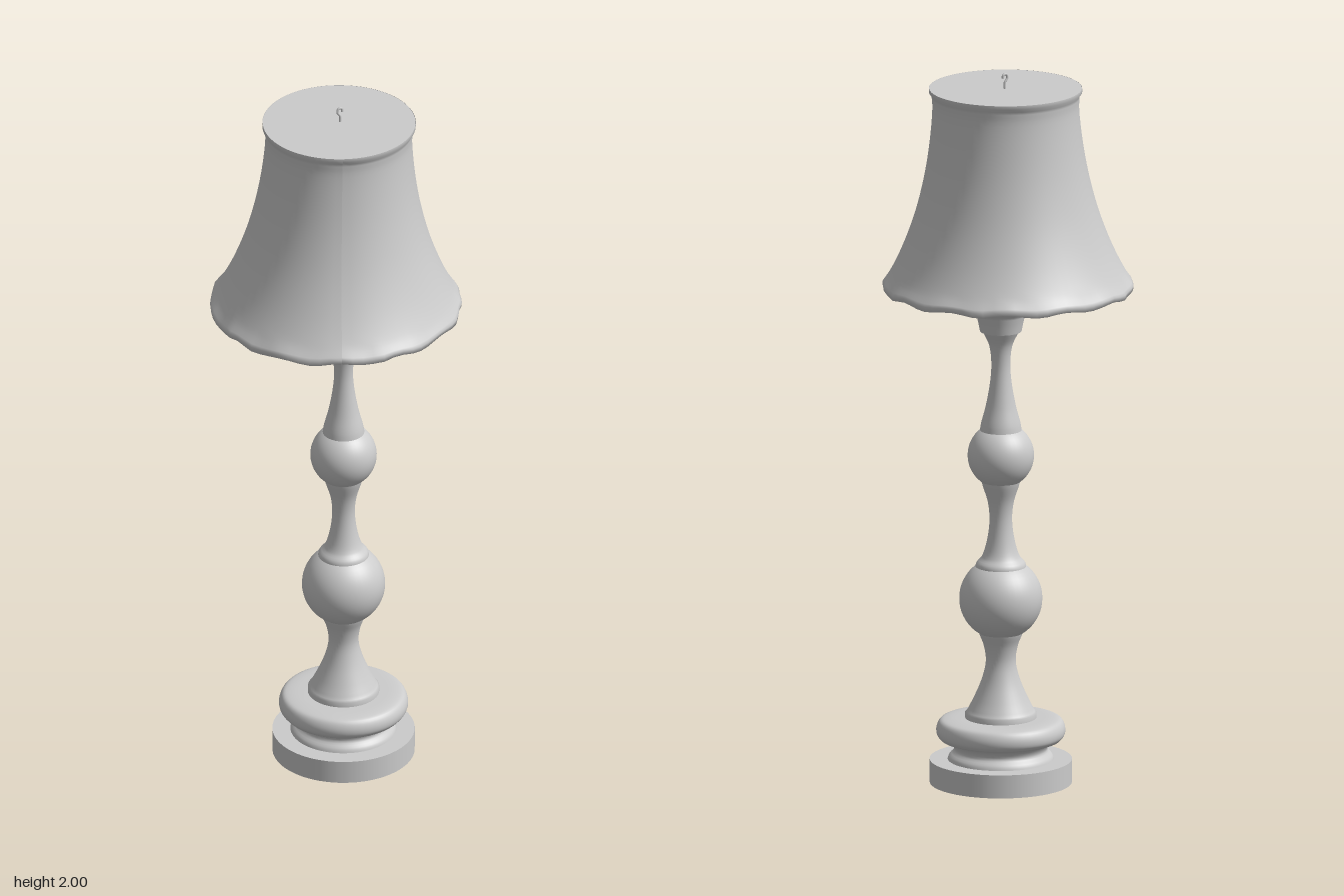
import * as THREE from 'three';

const AXIS_X = 0.022, AXIS_Z = -0.005;

// Dense smooth profile through [radius, height] points
function smooth(points, n) {
  const curve = new THREE.CatmullRomCurve3(points.map(([r, y]) => new THREE.Vector3(r, y, 0)), false, 'centripetal');
  return curve.getPoints(n).map(p => new THREE.Vector2(Math.max(p.x, 0), p.y));
}

const corners = points => points.map(([r, y]) => new THREE.Vector2(r, y));

export function createModel() {
  const group = new THREE.Group();
  const grey = new THREE.MeshStandardMaterial({ color: 0xcccccc });
  const thin = new THREE.MeshStandardMaterial({ color: 0xcccccc, side: THREE.DoubleSide });

  function add(name, geometry, x = AXIS_X, y = 0, z = AXIS_Z, material = grey) {
    const mesh = new THREE.Mesh(geometry, material);
    mesh.name = name;
    mesh.position.set(x, y, z);
    group.add(mesh);
    return mesh;
  }

  // Foot plate
  add('footPlate', new THREE.CylinderGeometry(0.195, 0.195, 0.065, 48), AXIS_X, 0.0325);

  // Turned base moulding: cove, then rounded ring
  add('baseMoulding', new THREE.LatheGeometry([
    ...smooth([[0.147, 0.06], [0.142, 0.075], [0.128, 0.092], [0.135, 0.11], [0.15, 0.121]], 14),
    ...smooth([[0.165, 0.122], [0.175, 0.135], [0.176, 0.155], [0.166, 0.174], [0.145, 0.18], [0.09, 0.182]], 20),
  ], 48));

  // Turned column with two balls and narrow waists
  add('lowerColumn', new THREE.LatheGeometry([
    ...corners([[0.098, 0.178], [0.098, 0.195]]),
    ...smooth([[0.093, 0.2], [0.075, 0.235], [0.052, 0.29], [0.041, 0.34], [0.047, 0.385], [0.06, 0.42], [0.064, 0.44]], 24),
  ], 40));
  add('lowerBall', new THREE.SphereGeometry(0.114, 40, 28), AXIS_X, 0.517);
  add('middleColumn', new THREE.LatheGeometry(
    smooth([[0.07, 0.59], [0.068, 0.615], [0.052, 0.635], [0.038, 0.68], [0.031, 0.74], [0.036, 0.79], [0.05, 0.835], [0.055, 0.855]], 28), 40));
  add('upperBall', new THREE.SphereGeometry(0.091, 40, 28), AXIS_X, 0.92);
  add('upperColumn', new THREE.LatheGeometry(
    smooth([[0.058, 0.985], [0.054, 1.01], [0.041, 1.06], [0.029, 1.13], [0.026, 1.18], [0.032, 1.23], [0.048, 1.265], [0.058, 1.285]], 28), 40));

  // Cup at the head of the column
  add('cup', new THREE.LatheGeometry([
    ...smooth([[0.057, 1.27], [0.062, 1.295], [0.068, 1.32]], 8),
    ...smooth([[0.074, 1.325], [0.09, 1.35], [0.092, 1.366], [0.083, 1.385]], 12),
    ...corners([[0.06, 1.388], [0, 1.388]]),
  ], 40));

  // Rod carrying the shade
  add('shadeRod', new THREE.CylinderGeometry(0.03, 0.03, 0.565, 20), AXIS_X, 1.667);

  // Flared shade, slightly sheared and with an uneven hem
  const shadeGeometry = new THREE.LatheGeometry([
    ...corners([[0.318, 1.4], [0.33, 1.388], [0.342, 1.389]]),
    ...smooth([[0.344, 1.402], [0.322, 1.435], [0.288, 1.505], [0.253, 1.6], [0.227, 1.7], [0.21, 1.8], [0.201, 1.9], [0.203, 1.935]], 32),
    ...corners([[0.21, 1.945], [0.21, 1.955]]),
  ], 72);
  const pos = shadeGeometry.attributes.position;
  for (let i = 0; i < pos.count; i++) {
    const x = pos.getX(i), y = pos.getY(i), z = pos.getZ(i);
    const t = (y - 1.39) / 0.565;
    const a = Math.atan2(z, x);
    const hem = Math.max(0, 1 - t * 12);
    const k = 1 + 0.008 * hem * Math.sin(a * 17 + Math.sin(a * 5) * 2);
    pos.setXYZ(i, x * k + 0.01 * t, y + 0.004 * hem * Math.sin(a * 13), z * k - 0.01 * t);
  }
  shadeGeometry.computeVertexNormals();
  add('shade', shadeGeometry, 0, 0, 0, thin);

  // Flat lid closing the shade
  add('shadeLid', new THREE.CylinderGeometry(0.209, 0.209, 0.008, 72), 0.01, 1.951, -0.01);

  // Small hooked finial
  const hook = new THREE.CatmullRomCurve3([
    [0, 1.95, 0], [0, 1.972, 0], [-0.007, 1.984, 0.002], [-0.004, 1.995, 0], [0.005, 1.994, -0.003], [0.006, 1.984, -0.003],
  ].map(p => new THREE.Vector3(...p)));
  add('finial', new THREE.TubeGeometry(hook, 20, 0.0035, 8), 0.013, 0, -0.015);

  return group;
}
